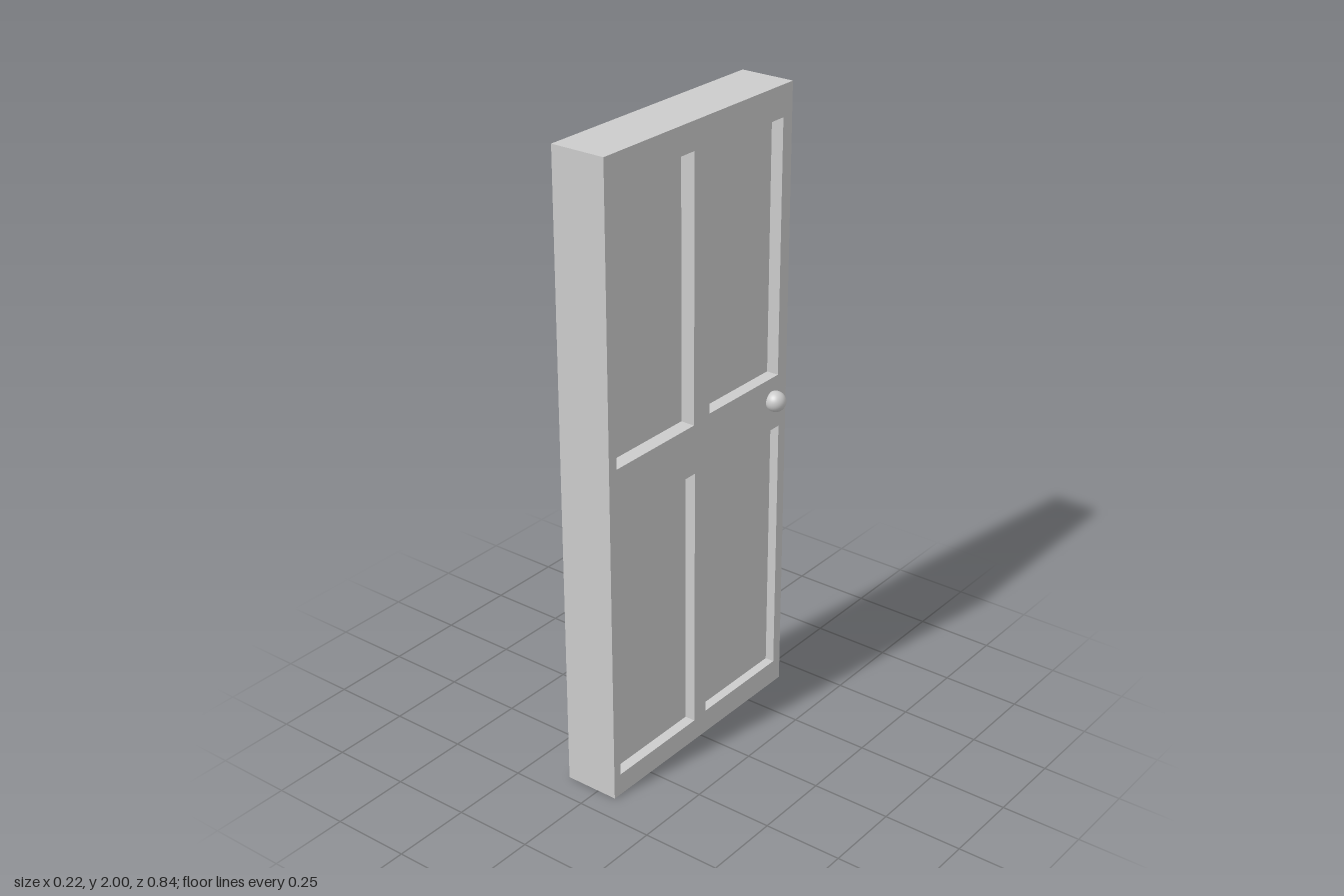
import * as THREE from 'three';

const BACK = -0.113, FACE = 0.064, HEIGHT = 2, HALF = 0.42;
const FRAME = 0.055; // thickness of the pierced front layer

// recessed panels: z range, y range, depth below the face
const PANELS = [
  { name: 'upperLeftPanel', z: [0.037, 0.387], y: [1.088, 1.914], depth: 0.046 },
  { name: 'upperRightPanel', z: [-0.377, -0.037], y: [1.098, 1.903], depth: 0.04 },
  { name: 'lowerLeftPanel', z: [0.032, 0.391], y: [0.071, 0.93], depth: 0.034 },
  { name: 'lowerRightPanel', z: [-0.386, -0.026], y: [0.077, 0.924], depth: 0.03 },
];

function rectangle(path, x0, x1, y0, y1) {
  path.moveTo(x0, y0);
  path.lineTo(x1, y0);
  path.lineTo(x1, y1);
  path.lineTo(x0, y1);
  path.closePath();
  return path;
}

export function createModel() {
  const group = new THREE.Group();
  group.name = 'panelledDoor';
  const material = new THREE.MeshStandardMaterial({ color: 0xcccccc });

  const add = (name, geometry, x = 0, y = 0, z = 0) => {
    const mesh = new THREE.Mesh(geometry, material);
    mesh.name = name;
    mesh.position.set(x, y, z);
    group.add(mesh);
  };
  const addBox = (name, x0, x1, y0, y1, z0, z1) =>
    add(name, new THREE.BoxGeometry(x1 - x0, y1 - y0, z1 - z0),
      (x0 + x1) / 2, (y0 + y1) / 2, (z0 + z1) / 2);

  // solid back of the door
  const seam = FACE - FRAME;
  addBox('doorSlab', BACK, seam, 0, HEIGHT, -HALF, HALF);

  // stiles and rails, drawn flat and turned to face +x
  const outline = rectangle(new THREE.Shape(), -HALF, HALF, 0, HEIGHT);
  for (const { z, y } of PANELS) {
    outline.holes.push(rectangle(new THREE.Path(), -z[1], -z[0], y[0], y[1]));
  }
  const frame = new THREE.ExtrudeGeometry(outline, { depth: FRAME, bevelEnabled: false });
  frame.rotateY(Math.PI / 2);
  add('doorFrame', frame, seam);

  // sunken panels
  for (const { name, z, y, depth } of PANELS) {
    addBox(name, seam, FACE - depth, y[0], y[1], z[0], z[1]);
  }

  // round knob, partly sunk into the face
  add('knob', new THREE.SphereGeometry(0.0325, 32, 20), 0.079, 1.025, -0.347);

  return group;
}
